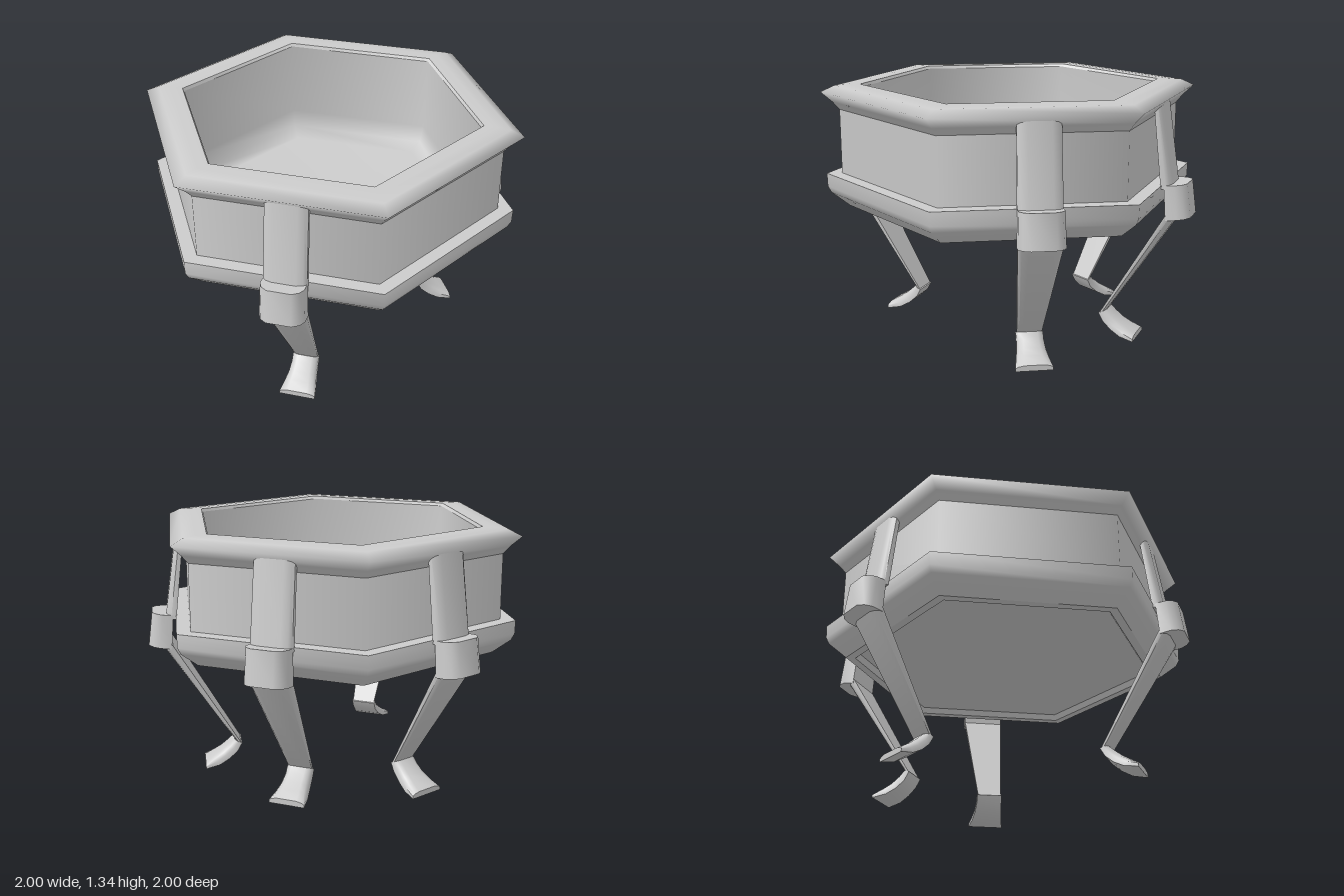
import * as THREE from 'three';
import { toCreasedNormals } from 'three/addons/utils/BufferGeometryUtils.js';

const material = new THREE.MeshStandardMaterial({ color: 0xcccccc, side: THREE.DoubleSide });

// Hexagonal ring swept from [corner radius, height] pairs, corners on the x axis
function hexRing(name, profile) {
  const points = profile.map(([r, y]) => new THREE.Vector2(r, y));
  const mesh = new THREE.Mesh(new THREE.LatheGeometry(points, 6, Math.PI / 2), material);
  mesh.name = name;
  return mesh;
}

// D-shaped bar lofted through stations: [inner z, inner y, outer z, outer y, half width]
const SECTION = [[-1, 0], [-1, 0.5], [-0.85, 0.8], [-0.55, 1], [0.55, 1], [0.85, 0.8], [1, 0.5], [1, 0]];
function loft(name, stations) {
  const n = SECTION.length;
  const positions = [];
  const index = [];
  for (const [zi, yi, zo, yo, w] of stations) {
    for (const [u, v] of SECTION) positions.push(u * w, yi + (yo - yi) * v, zi + (zo - zi) * v);
  }
  for (let i = 0; i < stations.length - 1; i++) {
    for (let j = 0; j < n; j++) {
      const a = i * n + j;
      const d = i * n + (j + 1) % n;
      index.push(a, a + n, d + n, a, d + n, d);
    }
  }
  // End caps
  const last = (stations.length - 1) * n;
  for (let j = 1; j < n - 1; j++) {
    index.push(0, j, j + 1, last, last + j + 1, last + j);
  }
  const geometry = new THREE.BufferGeometry();
  geometry.setAttribute('position', new THREE.Float32BufferAttribute(positions, 3));
  geometry.setIndex(index);
  const mesh = new THREE.Mesh(toCreasedNormals(geometry, 0.85), material);
  mesh.name = name;
  return mesh;
}

function createLeg(angle) {
  const parts = new THREE.Group();
  parts.position.x = 0.02;
  parts.add(
    loft('upperStrap', [
      [0.8, 1.28, 0.84, 1.28, 0.105],
      [0.85, 0.85, 0.905, 0.85, 0.108],
    ]),
    loft('kneeBlock', [
      [0.865, 0.87, 0.975, 0.88, 0.108],
      [0.88, 0.69, 0.998, 0.705, 0.113],
    ]),
    loft('shin', [
      [0.875, 0.71, 0.925, 0.7, 0.11],
      [0.53, 0.13, 0.56, 0.14, 0.065],
    ]),
    loft('foot', [
      [0.525, 0.13, 0.565, 0.145, 0.07],
      [0.55, 0.085, 0.595, 0.118, 0.07],
      [0.595, 0.045, 0.635, 0.085, 0.075],
      [0.65, 0.015, 0.675, 0.06, 0.085],
      [0.725, 0, 0.725, 0.03, 0.096],
    ]),
  );
  const leg = new THREE.Group();
  leg.name = 'leg';
  leg.rotation.y = angle;
  leg.add(parts);
  return leg;
}

export function createModel() {
  const model = new THREE.Group();
  model.name = 'fireBowl';

  // Hexagonal body, from the underside up and over into the bowl
  model.add(
    hexRing('bottomPanel', [[0, 0.72], [0.8, 0.72]]),
    hexRing('bottomRecess', [[0.8, 0.72], [0.82, 0.69]]),
    hexRing('bottomLip', [[0.82, 0.69], [0.87, 0.69]]),
    hexRing('baseBand', [[0.87, 0.69], [0.965, 0.765], [0.983, 0.8], [0.985, 0.87]]),
    hexRing('baseLedge', [[0.985, 0.87], [0.9, 0.87]]),
    hexRing('wall', [[0.905, 0.86], [0.905, 1.22]]),
    hexRing('rim', [[0.905, 1.21], [0.94, 1.25], [1, 1.303], [0.93, 1.335], [0.86, 1.34], [0.795, 1.34]]),
    hexRing('rimLip', [[0.795, 1.34], [0.785, 1.325]]),
    hexRing('bowl', [[0.785, 1.325], [0.775, 0.92], [0.75, 0.83], [0.69, 0.78], [0, 0.775]]),
  );

  // Four legs: front, back and the two rear sides
  for (const degrees of [0, 120, 180, 240]) {
    model.add(createLeg(THREE.MathUtils.degToRad(degrees)));
  }
  return model;
}
